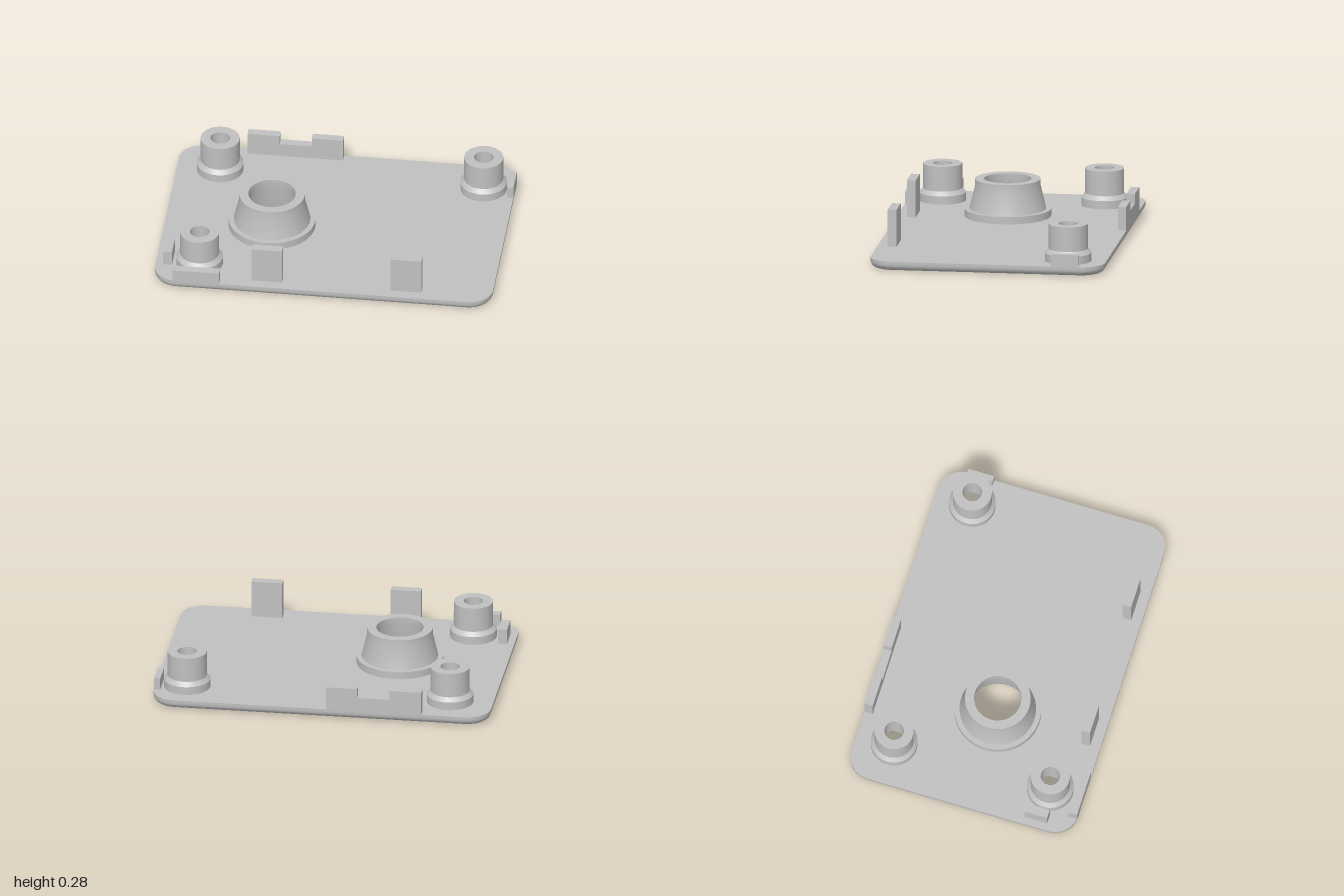
import * as THREE from 'three';
import { toCreasedNormals } from 'three/addons/utils/BufferGeometryUtils.js';

const HALF_X = 1, HALF_Z = 0.695, TOP = 0.056, CORNER = 0.14, ROUND = 0.04;
const POSTS = [[-0.745, -0.47], [0.815, -0.47], [-0.745, 0.49]];
const CONE = [-0.372, 0.052];
const HEX = 0.11, POCKET = 0.13;

// Rounded rectangle, counter-clockwise, shrunk by inset
function outline(inset) {
  const pts = [], r = CORNER - inset, n = 10;
  const corners = [[1, 1], [-1, 1], [-1, -1], [1, -1]];
  corners.forEach(([sx, sy], q) => {
    for (let i = 0; i <= n; i++) {
      const a = (q + i / n) * Math.PI / 2;
      pts.push(new THREE.Vector2(
        sx * (HALF_X - CORNER) + r * Math.cos(a),
        sy * (HALF_Z - CORNER) + r * Math.sin(a)));
    }
  });
  return pts;
}

// Polygonal hole with a corner on the z axis
function hole(x, y, r, sides) {
  const pts = [];
  for (let i = 0; i < sides; i++) {
    const a = Math.PI / 2 - i / sides * Math.PI * 2;
    pts.push(new THREE.Vector2(x + r * Math.cos(a), y + r * Math.sin(a)));
  }
  return new THREE.Path(pts);
}

// Flat face of the plate; dir 1 faces up, -1 faces down
function plateFace(inset, y, dir, postRadius, postSides, coneRadius) {
  const shape = new THREE.Shape(outline(inset));
  for (const [x, z] of POSTS) shape.holes.push(hole(x, -dir * z, postRadius, postSides));
  shape.holes.push(hole(CONE[0], -dir * CONE[1], coneRadius, 64));
  return new THREE.ShapeGeometry(shape).rotateX(-dir * Math.PI / 2).translate(0, y, 0);
}

// Plate rim: rounded lower edge, then a straight wall
function plateRim() {
  const rings = [], pos = [], index = [], steps = 6;
  for (let i = 0; i <= steps; i++) {
    const a = i / steps * Math.PI / 2;
    rings.push([ROUND * (1 - Math.sin(a)), ROUND * (1 - Math.cos(a))]);
  }
  rings.push([0, TOP]);
  let n = 0;
  for (const [inset, y] of rings) {
    const pts = outline(inset);
    n = pts.length;
    for (const p of pts) pos.push(p.x, y, -p.y);
  }
  for (let k = 0; k < rings.length - 1; k++) {
    for (let i = 0; i < n; i++) {
      const j = (i + 1) % n, a = k * n + i, b = k * n + j;
      index.push(a, b, b + n, a, b + n, a + n);
    }
  }
  const g = new THREE.BufferGeometry();
  g.setAttribute('position', new THREE.Float32BufferAttribute(pos, 3));
  g.setIndex(index);
  return toCreasedNormals(g, 0.5);
}

function lathe(profile, sides) {
  const g = new THREE.LatheGeometry(profile.map(([r, y]) => new THREE.Vector2(r, y)), sides);
  return toCreasedNormals(g, 0.4);
}

export function createModel() {
  const model = new THREE.Group();
  model.name = 'enclosureCover';
  const grey = new THREE.MeshStandardMaterial({ color: 0xc0c0c0 });
  grey.name = 'grey';
  const add = (name, geometry, x = 0, z = 0, parent = model) => {
    const mesh = new THREE.Mesh(geometry, grey);
    mesh.name = name;
    mesh.position.set(x, 0, z);
    parent.add(mesh);
  };

  // Base plate
  const plate = new THREE.Group();
  plate.name = 'basePlate';
  model.add(plate);
  add('plateTop', plateFace(0, TOP, 1, 0.125, 48, 0.245), 0, 0, plate);
  add('plateBottom', plateFace(ROUND, 0, -1, HEX, 6, 0.24), 0, 0, plate);
  add('plateRim', plateRim(), 0, 0, plate);

  // Screw posts with a stepped foot, a bore and a hexagonal nut pocket below
  const postShape = lathe([[0.137, TOP], [0.137, 0.105], [0.115, POCKET], [0.115, 0.278],
    [0.057, 0.278], [0.057, POCKET], [HEX, POCKET]], 48);
  const pocketShape = lathe([[HEX, POCKET], [HEX, 0]], 6);
  for (const [x, z] of POSTS) {
    add('screwPost', postShape, x, z);
    add('nutPocket', pocketShape, x, z);
  }

  // Hollow tapered collar with a recess on the underside
  add('taperedCollar', lathe([[0.255, TOP], [0.255, 0.1], [0.225, 0.1], [0.193, 0.235],
    [0.193, 0.278], [0.139, 0.278], [0.139, 0.235], [0.178, 0.04], [0.24, 0.04], [0.24, 0]], 64),
  CONE[0], CONE[1]);

  // Upright tabs: name, x range, z range, top height
  const tabs = [
    ['frontTallTab', -0.42, -0.24, 0.58, 0.633, 0.278],
    ['frontTallTab', 0.403, 0.585, 0.58, 0.633, 0.278],
    ['frontLowWall', -0.88, -0.605, 0.643, 0.695, 0.13],
    ['rightTab', -0.957, -0.903, 0.395, 0.535, 0.147],
    ['leftTab', 0.963, 1, -0.552, -0.392, 0.128],
  ];
  for (const [name, x0, x1, z0, z1, top] of tabs) {
    const h = top - TOP + 0.01;
    add(name, new THREE.BoxGeometry(x1 - x0, h, z1 - z0).translate(0, top - h / 2, 0),
      (x0 + x1) / 2, (z0 + z1) / 2);
  }

  // Notched wall along the back edge
  const notched = new THREE.Shape([[-0.605, 0.046], [-0.04, 0.046], [-0.04, 0.197], [-0.225, 0.197],
    [-0.225, 0.14], [-0.415, 0.14], [-0.415, 0.197], [-0.605, 0.197]]
    .map(([x, y]) => new THREE.Vector2(x, y)));
  add('backNotchedWall', new THREE.ExtrudeGeometry(notched, { depth: 0.05, bevelEnabled: false }), 0, -0.695);

  return model;
}
